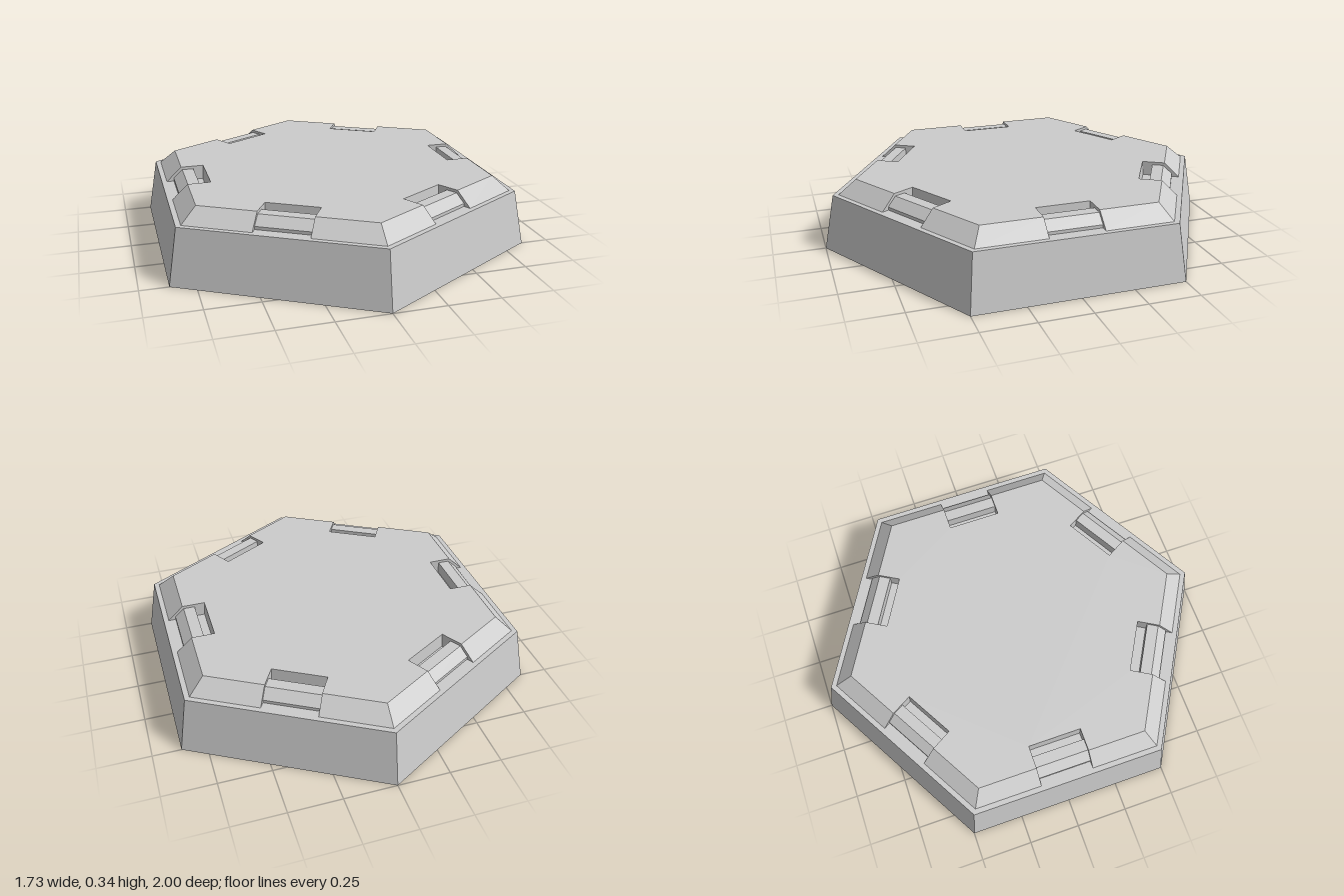
import * as THREE from 'three';
import { mergeGeometries } from 'three/addons/utils/BufferGeometryUtils.js';

const DECK = 0.27, TOP = 0.34;      // heights of the deck and of the raised plate
const PLATE_IN = 0.72, PLATE_OUT = 0.795; // distance of the plate's sides from the centre
const SLOT_IN = 0.61, SLOT_HALF = 0.13;
const TAN30 = Math.tan(Math.PI / 6);

// Flat four-sided face, corners counter-clockwise from outside
function quad(...corners) {
  const [a, b, c, d] = corners;
  const g = new THREE.BufferGeometry();
  g.setAttribute('position', new THREE.Float32BufferAttribute([a, b, c, a, c, d].flat(), 3));
  g.computeVertexNormals();
  return g;
}

// Wall facing +x: [x, y, low z, high z] for its lower and upper edge
function wall([x0, y0, l0, h0], [x1, y1, l1, h1]) {
  return quad([x0, y0, h0], [x0, y0, l0], [x1, y1, l1], [x1, y1, h1]);
}

// Bevels and slot walls for the side facing +x
function plateSide() {
  const low = PLATE_OUT * TAN30, high = PLATE_IN * TAN30, s = SLOT_HALF;
  const profile = [[SLOT_IN, DECK], [SLOT_IN, TOP], [PLATE_IN, TOP], [PLATE_OUT, DECK]];
  return mergeGeometries([
    wall([PLATE_OUT, DECK, s, low], [PLATE_IN, TOP, s, high]),
    wall([PLATE_OUT, DECK, -low, -s], [PLATE_IN, TOP, -high, -s]),
    wall([SLOT_IN + 0.005, DECK, -s, s], [SLOT_IN, TOP, -s, s]),
    quad(...profile.map(([x, y]) => [x, y, s])),
    quad(...profile.map(([x, y]) => [x, y, -s]).reverse()),
  ]);
}

// Hexagonal top with a notch in the middle of each side
function plateTop() {
  const points = [];
  const outline = [[PLATE_IN, -PLATE_IN * TAN30], [PLATE_IN, -SLOT_HALF],
    [SLOT_IN, -SLOT_HALF], [SLOT_IN, SLOT_HALF], [PLATE_IN, SLOT_HALF]];
  for (let i = 0; i < 6; i++) {
    for (const [x, y] of outline) {
      points.push(new THREE.Vector2(x, y).rotateAround(new THREE.Vector2(), i * Math.PI / 3));
    }
  }
  return new THREE.ShapeGeometry(new THREE.Shape(points)).rotateX(-Math.PI / 2).translate(0, TOP, 0);
}

// Low bevelled bar across the slot
function barGeometry() {
  const shape = new THREE.Shape([[0.66, DECK], [0.76, DECK], [0.76, 0.285], [0.715, 0.326], [0.66, 0.326]]
    .map(([x, y]) => new THREE.Vector2(x, y)));
  return new THREE.ExtrudeGeometry(shape, { depth: 2 * SLOT_HALF, bevelEnabled: false })
    .translate(0, 0, -SLOT_HALF);
}

export function createModel() {
  const model = new THREE.Group();
  model.name = 'hexagonalTile';
  const solid = new THREE.MeshStandardMaterial({ color: 0xcccccc, flatShading: true });
  const thin = new THREE.MeshStandardMaterial({ color: 0xcccccc, flatShading: true, side: THREE.DoubleSide });
  const add = (name, geometry, material, parent = model) => {
    const mesh = new THREE.Mesh(geometry, material);
    mesh.name = name;
    parent.add(mesh);
    return mesh;
  };

  // Hollow base, open underneath
  add('baseWalls', new THREE.CylinderGeometry(0.946, 1, DECK, 6, 1, true).translate(0, DECK / 2, 0), thin);
  add('deck', new THREE.CircleGeometry(0.946, 6, Math.PI / 2).rotateX(-Math.PI / 2).translate(0, DECK, 0), thin);

  // Raised plate with six slots, each holding a bar
  add('plateTop', plateTop(), solid);
  const sideGeometry = plateSide(), bar = barGeometry();
  for (let i = 0; i < 6; i++) {
    const side = new THREE.Group();
    side.name = 'plateSide' + (i + 1);
    side.rotation.y = i * Math.PI / 3;
    add('bevelAndSlot', sideGeometry, solid, side);
    add('slotBar', bar, solid, side);
    model.add(side);
  }
  return model;
}
